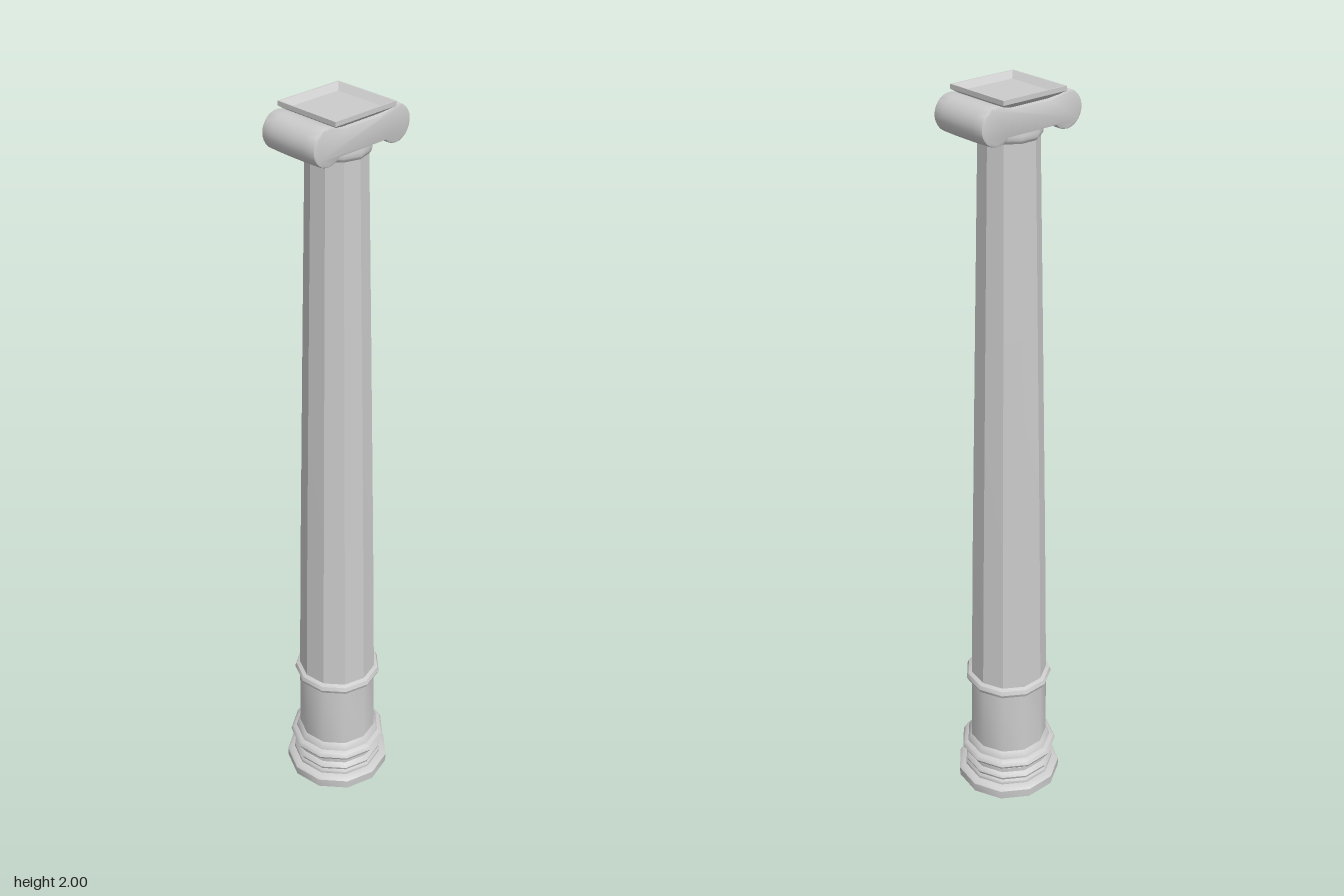
import * as THREE from 'three';
import { toCreasedNormals } from 'three/addons/utils/BufferGeometryUtils.js';

const SIDES = 11;
const AXIS_Z = -0.003;

export function createModel() {
  const group = new THREE.Group();
  const material = new THREE.MeshStandardMaterial({ color: 0xcccccc, side: THREE.DoubleSide });

  function add(name, geometry, crease) {
    const mesh = new THREE.Mesh(toCreasedNormals(geometry, crease), material);
    mesh.name = name;
    mesh.position.z = AXIS_Z;
    group.add(mesh);
  }
  // Revolve [radius, height] pairs, listed from bottom to top
  const lathe = (pairs, sides = SIDES) =>
    new THREE.LatheGeometry(pairs.map(([r, y]) => new THREE.Vector2(r, y)), sides);

  // Moulded base, open underneath
  add('base', lathe([
    [0.145, 0], [0.146, 0.026], [0.139, 0.032], [0.126, 0.036],
    [0.126, 0.044], [0.121, 0.05], [0.124, 0.058], [0.119, 0.066],
    [0.113, 0.07], [0.113, 0.078], [0.121, 0.082], [0.121, 0.089],
    [0.116, 0.094], [0.13, 0.098], [0.135, 0.107], [0.13, 0.117],
    [0.119, 0.122], [0.115, 0.134], [0.108, 0.142],
  ]), 0.7);

  // Drum between the base and the collar
  add('drum', lathe([[0.108, 0.142], [0.106, 0.34]]), 0.7);

  // Rounded collar
  add('collar', lathe([
    [0.106, 0.337], [0.116, 0.34], [0.12, 0.35], [0.116, 0.361], [0.105, 0.366],
  ]), 0.7);

  // Tapered, faceted shaft
  add('shaft', lathe([[0.106, 0.364], [0.098, 0.8], [0.085, 1.4], [0.074, 1.89]]), 0.3);

  // Small neck ring under the capital
  add('neck', lathe([[0.074, 1.885], [0.08, 1.893], [0.081, 1.903], [0.077, 1.92]]), 0.7);

  // Scroll bolster: two round volutes joined by a sagging band
  const right = [];
  for (let i = 0; i <= 20; i++) {
    const a = THREE.MathUtils.degToRad(120 - i * 13);
    right.push(new THREE.Vector2(0.105 + 0.041 * Math.cos(a), 1.942 + 0.041 * Math.sin(a)));
  }
  right.unshift(new THREE.Vector2(0.055, 1.97));
  const left = right.map(p => new THREE.Vector2(-p.x, p.y)).reverse();
  const bolster = new THREE.ExtrudeGeometry(new THREE.Shape([...right, ...left]), {
    depth: 0.158, steps: 6, bevelEnabled: true,
    bevelSize: 0.004, bevelThickness: 0.005, bevelSegments: 2,
  });
  bolster.translate(0, 0, -0.08);
  // Swell the sides slightly halfway along the depth
  const pos = bolster.attributes.position;
  for (let i = 0; i < pos.count; i++) {
    const t = pos.getZ(i) / 0.085;
    pos.setX(i, pos.getX(i) * (1 + 0.025 * Math.max(0, 1 - t * t)));
  }
  add('scrollBolster', bolster, 0.6);

  // Square top plate with sloping underside and a shallow recess
  const abacus = lathe([
    [0, 1.968], [0.68, 1.968], [0.95, 1.986], [1, 1.989], [1, 2],
    [0.96, 2], [0.8, 1.986], [0, 1.986],
  ], 4);
  abacus.rotateY(Math.PI / 4);
  abacus.scale(0.094 * Math.SQRT2, 1, 0.092 * Math.SQRT2);
  add('abacus', abacus, 0.3);

  return group;
}
